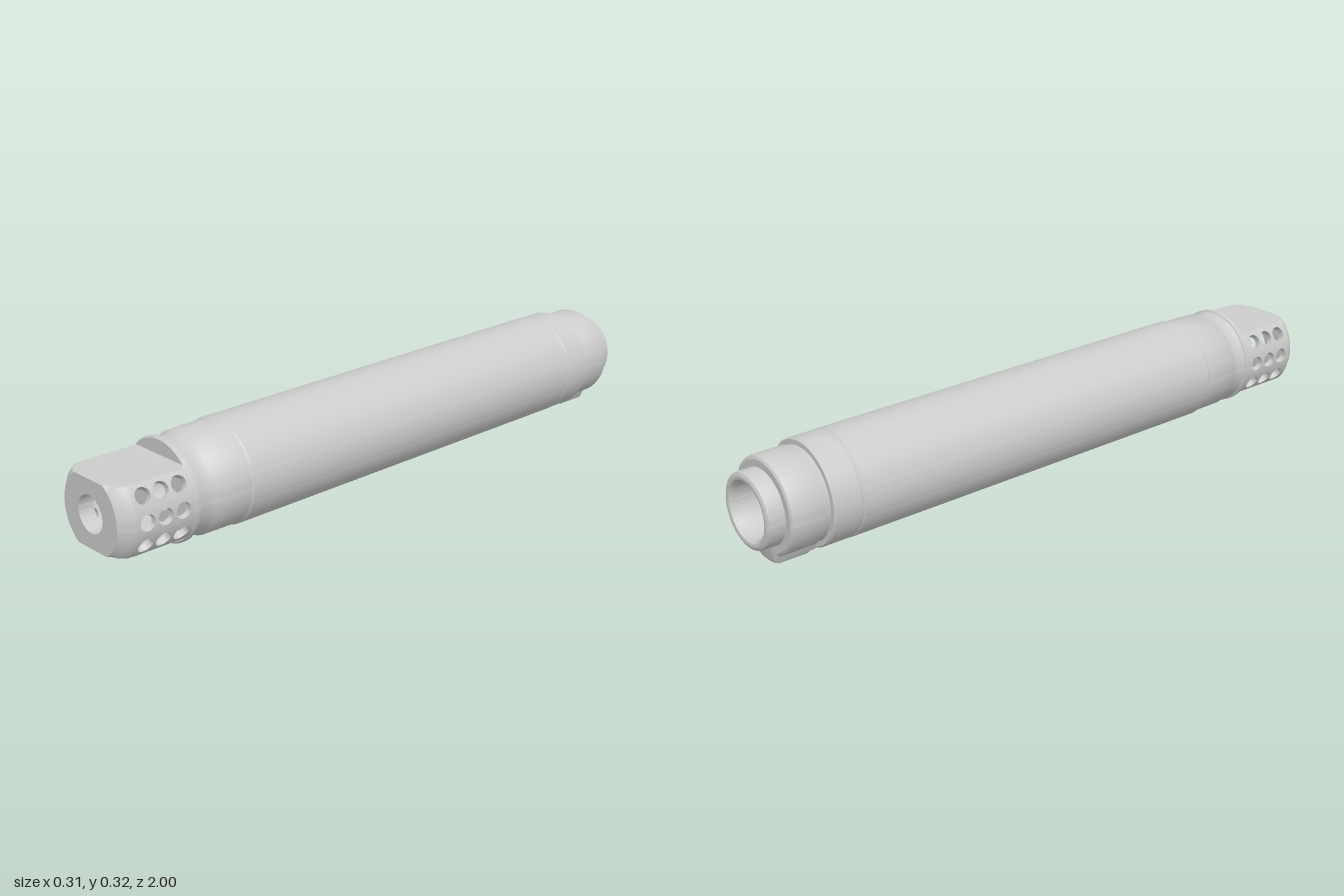
import * as THREE from 'three';
import { toCreasedNormals } from 'three/addons/utils/BufferGeometryUtils.js';
import { ParametricGeometry } from 'three/addons/geometries/ParametricGeometry.js';

const SEG = 96;
const AXIS_Y = 0.163;
const R_MUZZLE = 0.148, R_CAVITY = 0.13, FLAT = 0.1;

const material = new THREE.MeshStandardMaterial({ color: 0xcccccc, side: THREE.DoubleSide });

function addMesh(group, name, geometry, crease = 0.55) {
  const mesh = new THREE.Mesh(toCreasedNormals(geometry, crease), material);
  mesh.name = name;
  group.add(mesh);
  return mesh;
}

// Turned part along z; profile is a closed loop of [radius, z], outside running towards +z
function turned(profile) {
  const pts = [...profile, profile[0]].map(([r, z]) => new THREE.Vector2(r, z));
  return new THREE.LatheGeometry(pts, SEG).rotateX(Math.PI / 2);
}

// Moves each vertex of a geometry by a rule
function reshape(geometry, rule) {
  const pos = geometry.attributes.position, p = new THREE.Vector3();
  for (let i = 0; i < pos.count; i++) {
    rule(p.fromBufferAttribute(pos, i));
    pos.setXYZ(i, p.x, p.y, p.z);
  }
  return geometry;
}

// Mills flats on top and bottom
const millFlats = (geometry, limit) => reshape(geometry, (p) => {
  const l = limit(p.z);
  p.y = THREE.MathUtils.clamp(p.y, -l, l);
});

// Curved wall tile with a round port: inner face, port bore and outer face
function portTile(angle, z, halfAngle, halfZ, portRadius) {
  return new ParametricGeometry((u, v, out) => {
    const a = -u * Math.PI * 2, c = Math.cos(a), s = Math.sin(a);
    const m = Math.max(Math.abs(c), Math.abs(s));
    const edge = THREE.MathUtils.clamp(Math.abs(v - 0.5) * 3 - 0.5, 0, 1);
    const r = v < 0.5 ? R_CAVITY : R_MUZZLE;
    const da = THREE.MathUtils.lerp((c * portRadius) / R_MUZZLE, (c / m) * halfAngle, edge);
    const dz = THREE.MathUtils.lerp(s * portRadius, (s / m) * halfZ, edge);
    out.set(r * Math.cos(angle + da), r * Math.sin(angle + da), z + dz);
  }, 32, 9);
}

export function createModel() {
  const model = new THREE.Group();
  model.name = 'tubeAssembly';
  const core = new THREE.Group();
  core.name = 'core';
  core.position.y = AXIS_Y;
  model.add(core);

  // Main tube with fine seams, front groove and lip ring
  addMesh(core, 'mainTube', turned([
    [0.08, -0.825], [0.15, -0.825], [0.154, -0.82], [0.154, -0.738],
    [0.152, -0.735], [0.152, -0.731], [0.155, -0.728], [0.155, 0.578],
    [0.151, 0.584], [0.150, 0.695], [0.147, 0.7], [0.142, 0.708], [0.140, 0.725],
    [0.142, 0.745], [0.145, 0.755], [0.150, 0.758], [0.150, 0.770], [0.146, 0.775],
    [0.054, 0.775], [0.054, 0.68], [0.08, 0.66],
  ]));

  // Rear collar with a raised lug underneath
  const collar = turned([
    [0.08, -0.945], [0.130, -0.947], [0.137, -0.943], [0.14, -0.935],
    [0.14, -0.845], [0.136, -0.836], [0.136, -0.822], [0.08, -0.822],
  ]);
  reshape(collar, (p) => {
    const r = Math.hypot(p.x, p.y);
    if (r < 0.12) return;
    const off = Math.abs(Math.atan2(p.x, -p.y));
    const k = 1 + (0.023 / 0.14) * (1 - THREE.MathUtils.smoothstep(off, 0.24, 0.42));
    p.x *= k;
    p.y *= k;
  });
  addMesh(core, 'rearCollar', collar);

  // Rear tail sleeve with a rounded mouth
  addMesh(core, 'rearSleeve', turned([
    [0.084, -0.993], [0.088, -0.998], [0.094, -1], [0.101, -0.999], [0.107, -0.995],
    [0.109, -0.988], [0.109, -0.93], [0.08, -0.93], [0.08, -0.98],
  ]));

  // Muzzle: base with fillet rising from the flats
  const muzzle = new THREE.Group();
  muzzle.name = 'muzzle';
  core.add(muzzle);
  const z0 = 0.782, z1 = 0.953;
  addMesh(muzzle, 'muzzleBase', millFlats(turned([
    [0.054, 0.76], [0.146, 0.76], [0.147, 0.772], [R_MUZZLE, 0.777], [R_MUZZLE, z0], [0.054, z0],
  ]), (z) => FLAT + 60 * Math.max(0, z0 - z) ** 2));

  // Chamfered front cap with the bore
  addMesh(muzzle, 'frontCap', millFlats(turned([
    [0.054, z1], [R_MUZZLE, z1], [R_MUZZLE, 0.966], [0.138, 0.983], [0.118, 1], [0.054, 1],
  ]), () => FLAT));

  // Ported side walls: three by three on each side
  const halfArc = Math.asin(FLAT / R_MUZZLE);
  const halfZ = (z1 - z0) / 6, halfAngle = halfArc / 3;
  for (const side of [0, Math.PI]) {
    for (let row = -1; row <= 1; row++) {
      for (let col = -1; col <= 1; col++) {
        const angle = side + row * halfAngle * 2;
        const z = (z0 + z1) / 2 + col * halfZ * 2;
        addMesh(muzzle, 'portedWall', portTile(angle, z, halfAngle, halfZ, 0.0235));
      }
    }
  }

  // Flat plates closing the top and bottom
  const outerX = R_MUZZLE * Math.cos(halfArc), innerX = R_CAVITY * Math.cos(halfArc);
  const innerY = R_CAVITY * Math.sin(halfArc);
  const section = new THREE.Shape([
    new THREE.Vector2(-outerX, FLAT), new THREE.Vector2(-innerX, innerY),
    new THREE.Vector2(innerX, innerY), new THREE.Vector2(outerX, FLAT),
  ]);
  for (const turn of [0, Math.PI]) {
    const plate = new THREE.ExtrudeGeometry(section, { depth: z1 - z0, bevelEnabled: false });
    plate.translate(0, 0, z0).rotateZ(turn);
    addMesh(muzzle, turn ? 'bottomFlat' : 'topFlat', plate);
  }

  return model;
}
